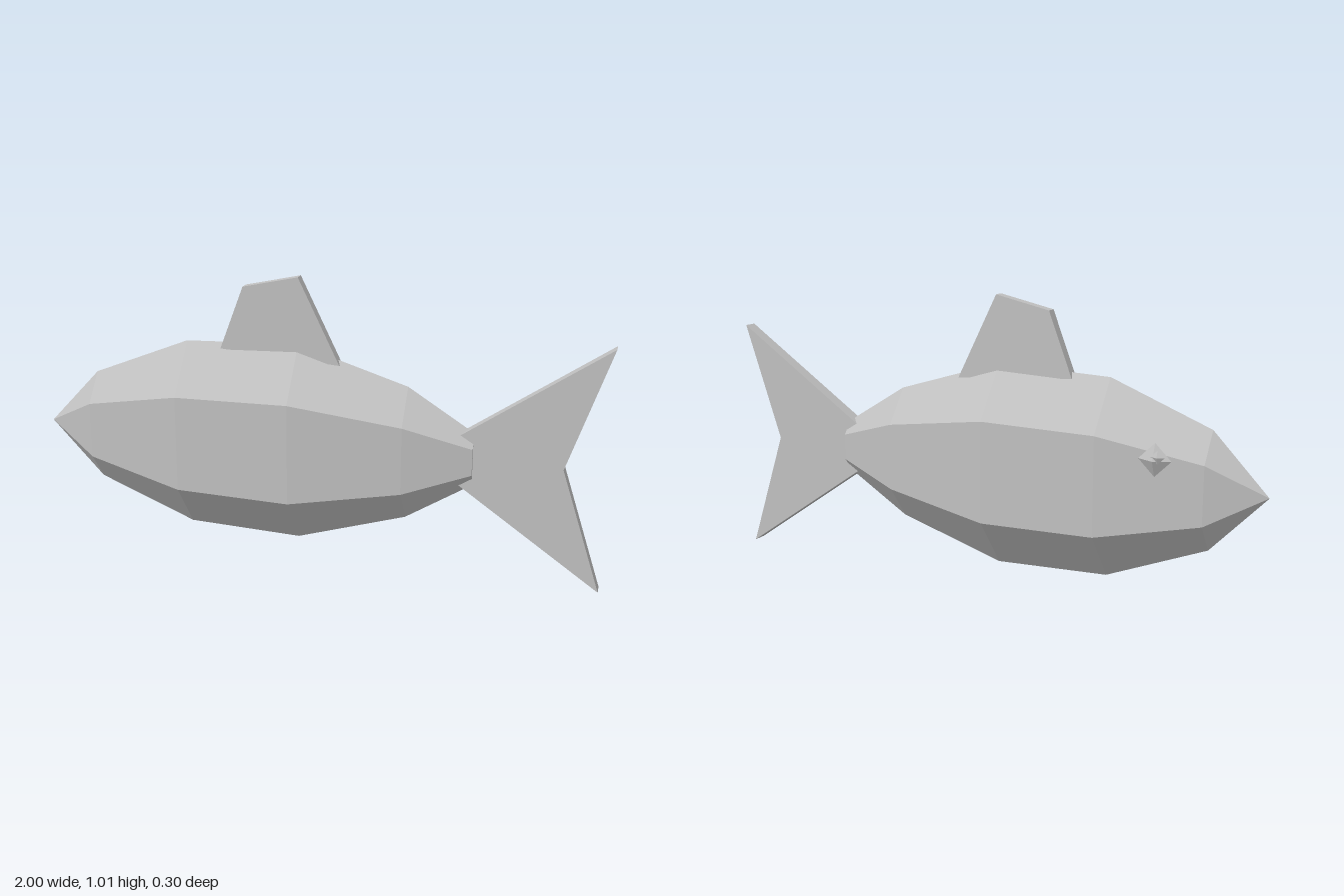
import * as THREE from 'three';

const MID_Z = 0.01; // the body's centre plane
const MID_Y = 0.425;

// Faceted hexagonal hull through stations of [x, half height]
function hullGeometry(stations, widthRatio) {
  const pos = [], index = [];
  for (const [x, h] of stations) {
    for (let k = 0; k < 6; k++) {
      const a = (k * Math.PI) / 3;
      pos.push(x, MID_Y + h * Math.cos(a), MID_Z + (h * widthRatio * Math.sin(a)) / Math.sin(Math.PI / 3));
    }
  }
  for (let s = 0; s < stations.length - 1; s++) {
    for (let k = 0; k < 6; k++) {
      const a0 = s * 6 + k, a1 = s * 6 + ((k + 1) % 6);
      if (s > 0) index.push(a0, a1, a0 + 6); // the nose closes to a point
      index.push(a1, a1 + 6, a0 + 6);
    }
  }
  // Flat cap behind the body
  const last = (stations.length - 1) * 6;
  for (let k = 1; k < 5; k++) index.push(last, last + k, last + k + 1);
  const geo = new THREE.BufferGeometry();
  geo.setAttribute('position', new THREE.Float32BufferAttribute(pos, 3));
  geo.setIndex(index);
  const flat = geo.toNonIndexed();
  flat.computeVertexNormals();
  return flat;
}

// Flat slab cut from an outline in the xy plane
function finGeometry(points, thickness) {
  const shape = new THREE.Shape(points.map(([x, y]) => new THREE.Vector2(x, y)));
  const geo = new THREE.ExtrudeGeometry(shape, { depth: thickness, bevelEnabled: false });
  geo.translate(0, 0, MID_Z - thickness / 2);
  return geo;
}

export function createModel() {
  const model = new THREE.Group();
  model.name = 'fish';
  const grey = new THREE.MeshStandardMaterial({ color: 0xc0c0c0 });
  grey.name = 'grey';
  grey.flatShading = true;

  const add = (name, geometry) => {
    const mesh = new THREE.Mesh(geometry, grey);
    mesh.name = name;
    model.add(mesh);
    return mesh;
  };

  add('body', hullGeometry([
    [-1, 0], [-0.81, 0.2], [-0.46, 0.34], [-0.055, 0.355], [0.33, 0.236], [0.56, 0.092],
  ], 0.397));

  add('dorsalFin', finGeometry([
    [-0.33, 0.75], [0.095, 0.72], [-0.05, 1.015], [-0.245, 0.972],
  ], 0.037));

  add('tailFin', finGeometry([
    [0.385, MID_Y], [1, 0], [0.86, MID_Y], [1, 0.845],
  ], 0.048));

  // Single eye on the far flank, with a small pupil on it
  const eye = add('eye', new THREE.OctahedronGeometry(1));
  eye.scale.set(0.055, 0.055, 0.026);
  eye.position.set(-0.665, 0.54, -0.122);

  const pupil = add('pupil', new THREE.OctahedronGeometry(1));
  pupil.scale.set(0.023, 0.023, 0.01);
  pupil.position.set(-0.68, 0.553, -0.14);

  return model;
}
